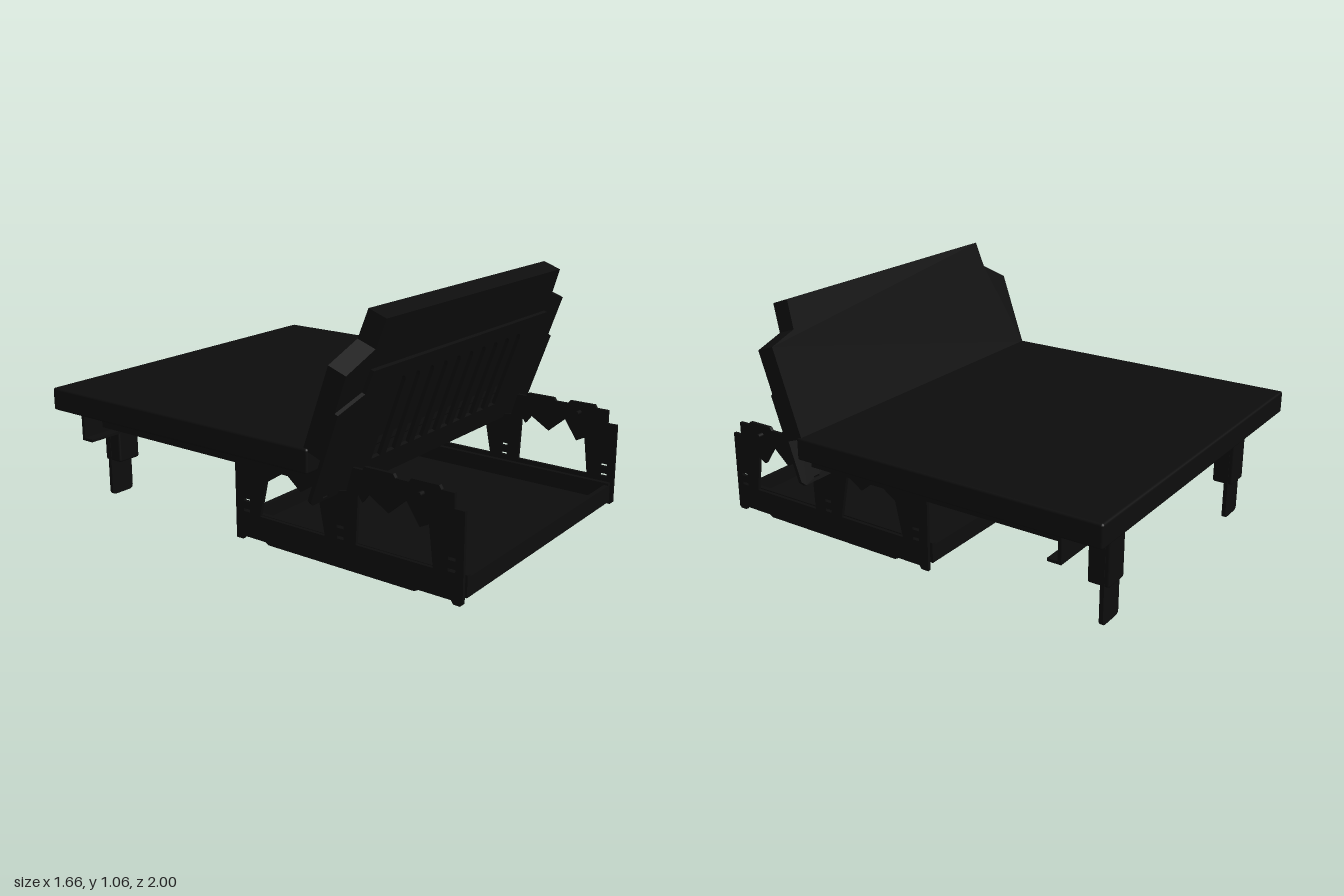
import * as THREE from 'three';
import { RoundedBoxGeometry } from 'three/addons/geometries/RoundedBoxGeometry.js';

const black = new THREE.MeshStandardMaterial({ color: 0x0d0d0d });
black.name = 'black';

function add(parent, name, geometry, x = 0, y = 0, z = 0) {
  const mesh = new THREE.Mesh(geometry, black);
  mesh.name = name;
  mesh.position.set(x, y, z);
  parent.add(mesh);
  return mesh;
}

// Box given by its limits on each axis
function block(parent, name, [x0, x1], [y0, y1], [z0, z1], r = 0) {
  const size = [x1 - x0, y1 - y0, z1 - z0];
  const geo = r ? new RoundedBoxGeometry(...size, 2, r) : new THREE.BoxGeometry(...size);
  return add(parent, name, geo, (x0 + x1) / 2, (y0 + y1) / 2, (z0 + z1) / 2);
}

const points = (list) => list.map(([a, b]) => new THREE.Vector2(a, b));

function plate(outline, holes, depth) {
  const shape = new THREE.Shape(points(outline));
  shape.holes = holes;
  return new THREE.ExtrudeGeometry(shape, { depth, bevelEnabled: false, curveSegments: 8 });
}

const hole = (list) => new THREE.Path(points(list));
const rectHole = (a0, a1, b0, b1) => hole([[a0, b0], [a1, b0], [a1, b1], [a0, b1]]);

// Slot with an arched top end
function archHole(x, y0, y1, width) {
  const r = width / 2;
  const p = new THREE.Path();
  p.moveTo(x - r, y0);
  p.lineTo(x + r, y0);
  p.lineTo(x + r, y1 - r);
  p.absarc(x, y1 - r, r, 0, Math.PI, false);
  p.closePath();
  return p;
}

function archRow(y0, y1) {
  const row = [];
  for (let i = 0; i < 10; i++) row.push(archHole((i - 4.5) * 0.1, y0, y1, 0.06));
  return row;
}

function buildBase() {
  const base = new THREE.Group();
  base.name = 'base';
  // Open storage tray
  block(base, 'trayFloor', [-0.61, 0.61], [0.02, 0.035], [-0.09, 0.995]);
  block(base, 'trayFront', [-0.61, 0.61], [0.02, 0.1], [0.975, 0.995]);
  block(base, 'trayBack', [-0.61, 0.61], [0.02, 0.1], [-0.09, -0.07]);
  for (const s of [-1, 1]) {
    const x = [s * 0.6 - 0.01, s * 0.6 + 0.01];
    block(base, 'traySide', x, [0.02, 0.11], [-0.09, 0.995]);
  }

  // Side plates with stepped tops, jagged openings and small slots
  const outline = [
    [1, 0.01], [1, 0.37], [0.955, 0.37], [0.955, 0.43], [0.9, 0.43], [0.89, 0.445],
    [0.77, 0.445], [0.76, 0.43], [0.7, 0.43], [0.69, 0.445], [0.56, 0.445], [0.55, 0.43],
    [0.505, 0.43], [0.475, 0.33], [0.43, 0.32], [0.42, 0.43], [0.05, 0.43], [0.04, 0.38],
    [-0.095, 0.37], [-0.095, 0], [-0.06, 0], [-0.05, 0.015], [0.06, 0.015], [0.08, 0.005],
    [0.79, 0.005], [0.81, 0.015], [0.95, 0.015], [0.96, 0], [0.99, 0],
  ];
  const makeHoles = () => {
    const holes = [
      hole([[0.87, 0.12], [0.85, 0.285], [0.81, 0.265], [0.75, 0.355], [0.67, 0.285],
        [0.58, 0.34], [0.55, 0.3], [0.53, 0.33], [0.52, 0.12]]),
      hole([[0.37, 0.12], [0.33, 0.325], [0.25, 0.275], [0.17, 0.34], [0.07, 0.275], [0.035, 0.12]]),
    ];
    for (const z of [0.95, 0.445, -0.035])
      for (const y of [0.125, 0.17]) holes.push(rectHole(z - 0.016, z + 0.016, y, y + 0.012));
    return holes;
  };
  for (const s of [-1, 1]) {
    const geo = plate(outline, makeHoles(), 0.015);
    geo.rotateY(-Math.PI / 2);
    add(base, 'sidePlate', geo, s * 0.641 + 0.0075, 0, 0);
    const pin = new THREE.CylinderGeometry(0.01, 0.01, 0.075, 12);
    pin.rotateZ(Math.PI / 2);
    add(base, 'pivotPin', pin, s * 0.637, 0.4, 0.82);
  }
  return base;
}

function buildBed() {
  const bed = new THREE.Group();
  bed.name = 'bed';
  block(bed, 'mattress', [-0.83, 0.83], [0.435, 0.535], [-1, 0.43], 0.01);

  // Slotted support panel
  const panel = plate([[-0.75, -0.78], [0.75, -0.78], [0.75, 0.42], [-0.75, 0.42]],
    [...archRow(-0.6, -0.27), ...archRow(-0.1, 0.23)], 0.012);
  panel.rotateX(Math.PI / 2);
  add(bed, 'supportPanel', panel, 0, 0.43, 0);

  // Frame rails
  for (const s of [-1, 1])
    block(bed, 'sideRail', [s * 0.73 - 0.02, s * 0.73 + 0.02], [0.375, 0.435], [-0.78, 0.43]);
  for (const z of [-0.2, 0.4])
    block(bed, 'crossRail', [-0.72, 0.72], [0.385, 0.435], [z - 0.02, z + 0.02]);
  block(bed, 'rearRail', [-0.82, 0.82], [0.325, 0.435], [-0.83, -0.815]);
  block(bed, 'rearRailLip', [-0.82, 0.82], [0.325, 0.337], [-0.83, -0.77]);

  // Rear legs: rounded boards held in brackets
  for (const s of [-1, 1]) {
    const leg = new THREE.Shape();
    leg.moveTo(-0.06, 0.435);
    leg.lineTo(-0.06, 0.02);
    leg.quadraticCurveTo(-0.06, 0, -0.04, 0);
    leg.lineTo(0.04, 0);
    leg.quadraticCurveTo(0.06, 0, 0.06, 0.02);
    leg.lineTo(0.06, 0.435);
    leg.closePath();
    const geo = new THREE.ExtrudeGeometry(leg, { depth: 0.018, bevelEnabled: false });
    add(bed, 'rearLeg', geo, s * 0.563, 0, -0.9);
    block(bed, 'legBracket', [s * 0.563 - 0.058, s * 0.563 + 0.058], [0.165, 0.435], [-0.92, -0.825], 0.01);
  }
  return bed;
}

function buildBackrest() {
  const back = new THREE.Group();
  back.name = 'backrest';
  // Stepped cushion
  const cushion = [[-0.82, 0], [0.825, 0], [0.825, 0.392], [0.685, 0.432], [0.67, 0.557],
    [-0.67, 0.557], [-0.68, 0.435], [-0.82, 0.355]];
  add(back, 'backCushion', plate(cushion, [], 0.085));
  // Slotted panel on the outer face, hanging below the cushion
  const panel = [[-0.8, -0.2], [0.8, -0.2], [0.82, -0.18], [0.82, 0.2], [0.68, 0.255], [0.67, 0.35],
    [-0.67, 0.35], [-0.68, 0.255], [-0.82, 0.2], [-0.82, -0.18]];
  const slits = [-0.73, 0.73].map((x) => rectHole(x - 0.016, x + 0.016, -0.186, -0.179));
  add(back, 'backPanel', plate(panel, [...archRow(-0.09, 0.28), ...slits], 0.016), 0, 0, 0.085);
  back.position.set(0, 0.53, 0.405);
  back.rotation.x = THREE.MathUtils.degToRad(19.5);
  return back;
}

export function createModel() {
  const model = new THREE.Group();
  model.name = 'sofaBed';
  model.add(buildBase(), buildBed(), buildBackrest());
  return model;
}
